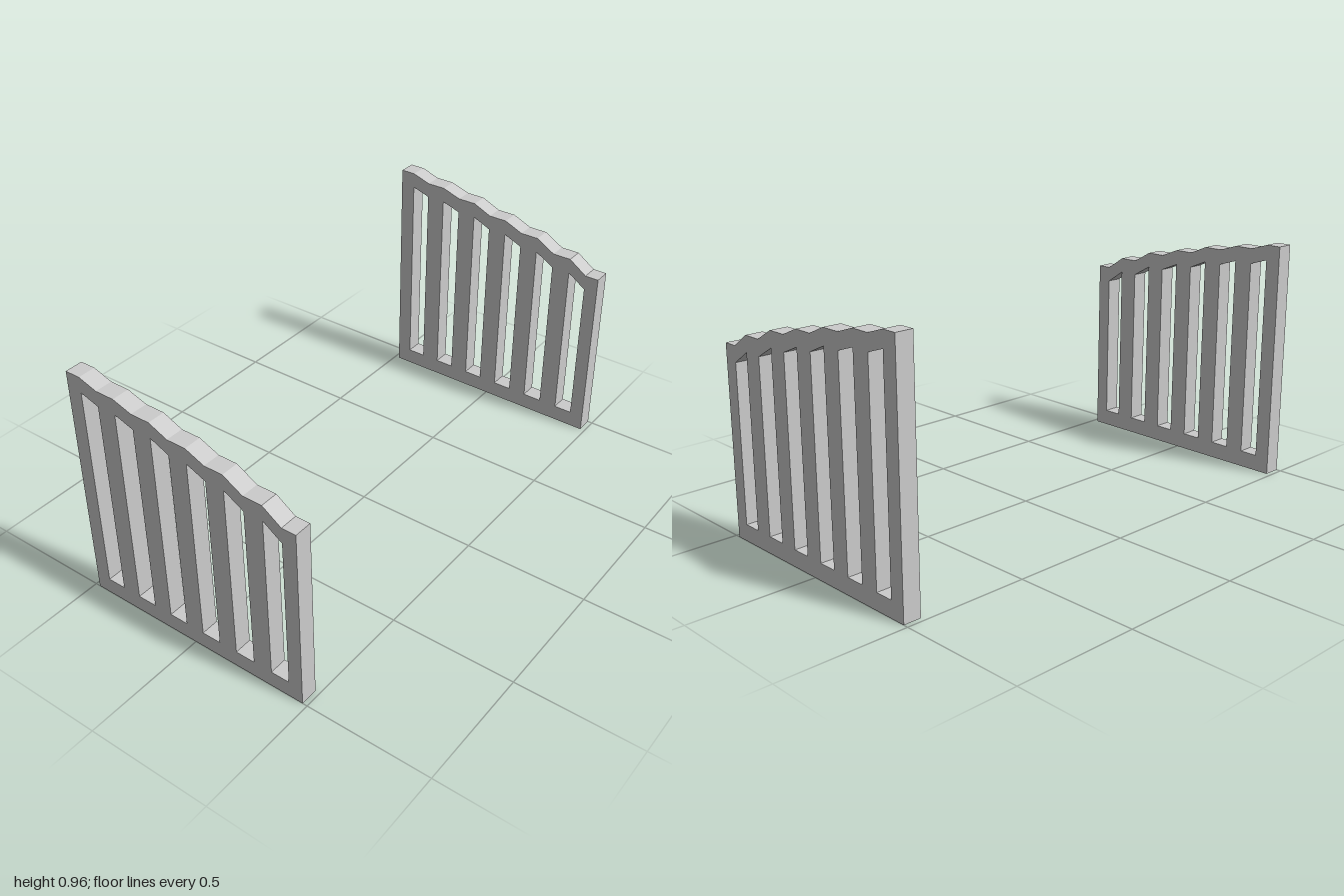
import * as THREE from 'three';

const THICKNESS = 0.07;
const BASE_TOP = 0.066;   // top of the bottom rail
const RAIL_DROP = 0.062;  // depth of the stepped top rail

// Upright slats from front to back: [start, end, top height], measured along -z
const SLATS = [
  [-0.481, -0.424, 0.74],
  [-0.349, -0.272, 0.792],
  [-0.193, -0.117, 0.838],
  [-0.04, 0.037, 0.871],
  [0.113, 0.19, 0.905],
  [0.268, 0.345, 0.931],
  [0.42, 0.481, 0.956],
];

const toShape = (Type, points) => new Type(points.map(([u, y]) => new THREE.Vector2(u, y)));

// Slatted side panel: stepped outline with a slot between each pair of slats
function panelGeometry() {
  const top = SLATS.flatMap(([a, b, h]) => [[a, h], [b, h]]).reverse();
  const first = SLATS[0][0];
  const last = SLATS[SLATS.length - 1][1];
  const outline = toShape(THREE.Shape, [[first, 0], [last, 0], ...top]);

  for (let i = 0; i < SLATS.length - 1; i++) {
    const [, a, ha] = SLATS[i];
    const [b, , hb] = SLATS[i + 1];
    outline.holes.push(toShape(THREE.Path, [
      [a, BASE_TOP], [a, ha - RAIL_DROP], [b, hb - RAIL_DROP], [b, BASE_TOP],
    ]));
  }

  const geometry = new THREE.ExtrudeGeometry(outline, { depth: THICKNESS, bevelEnabled: false });
  geometry.translate(0, 0, -THICKNESS / 2);
  return geometry.rotateY(Math.PI / 2); // profile runs front to back
}

export function createModel() {
  const group = new THREE.Group();
  group.name = 'sidePanels';
  const material = new THREE.MeshStandardMaterial({ color: 0xcccccc, flatShading: true });
  const geometry = panelGeometry();

  // Matching panels at each side
  for (const [name, side] of [['leftPanel', 1], ['rightPanel', -1]]) {
    const panel = new THREE.Mesh(geometry, material);
    panel.name = name;
    panel.position.x = side * (1 - THICKNESS / 2);
    group.add(panel);
  }
  return group;
}
